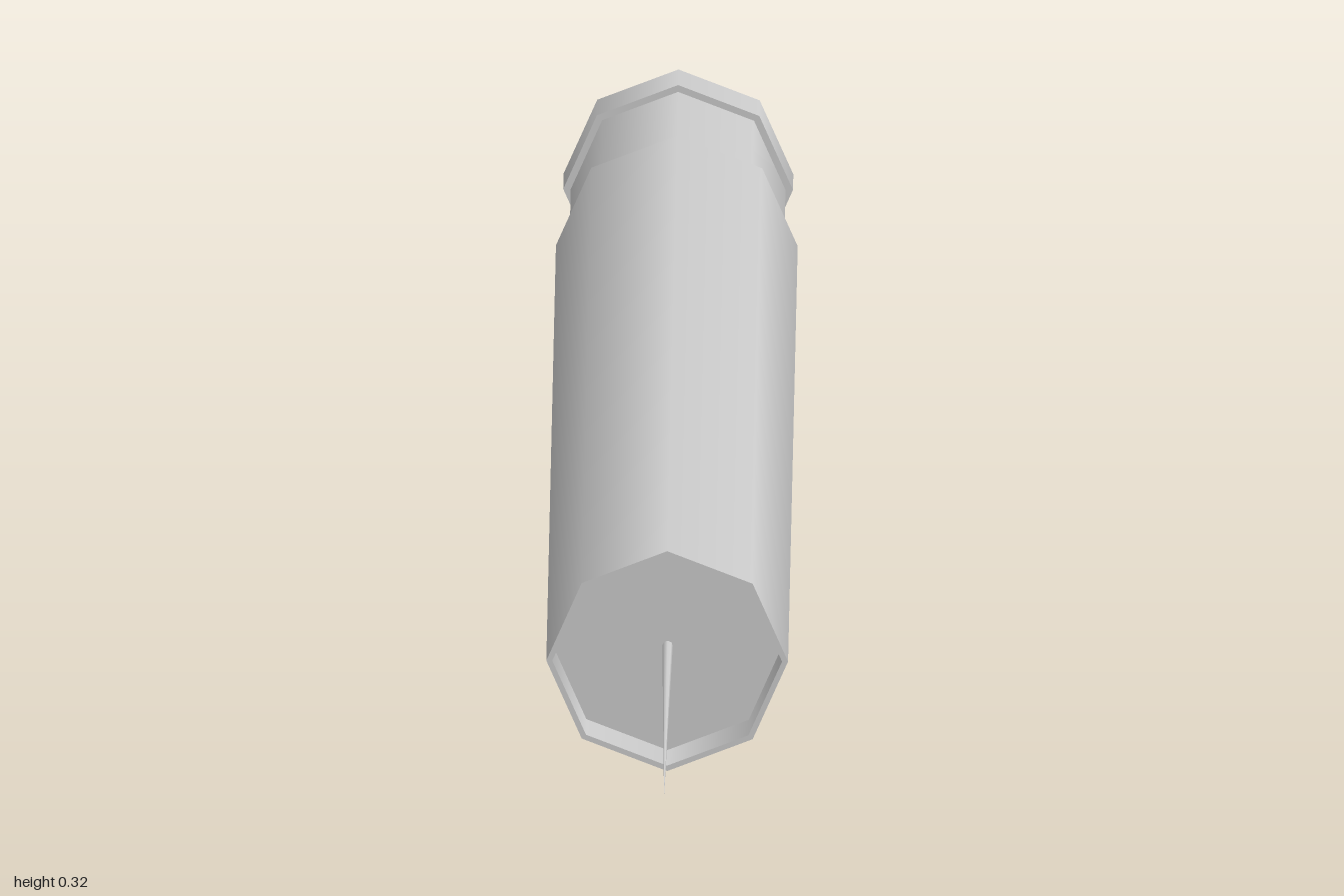
import * as THREE from 'three';
import { mergeGeometries } from 'three/addons/utils/BufferGeometryUtils.js';

const SIDES = 8;
const AXIS_Y = 0.161;

// Turn a [radius, z] profile about the z axis; each band is separate so
// the edges between bands stay sharp while the round sides stay smooth.
function turned(name, profile, material) {
  const bands = [];
  for (let i = 0; i < profile.length - 1; i++) {
    const points = [profile[i], profile[i + 1]].map(([r, z]) => new THREE.Vector2(r, z));
    bands.push(new THREE.LatheGeometry(points, SIDES));
  }
  const geometry = mergeGeometries(bands);
  geometry.rotateX(Math.PI / 2);
  const mesh = new THREE.Mesh(geometry, material);
  mesh.name = name;
  return mesh;
}

export function createModel() {
  const material = new THREE.MeshStandardMaterial({ color: 0xcccccc });
  const group = new THREE.Group();
  group.name = 'cartridge';

  const parts = new THREE.Group();
  parts.name = 'turnedParts';
  parts.position.y = AXIS_Y;
  group.add(parts);

  // Long barrel with a shallow recess in its front end
  parts.add(turned('barrel', [
    [0.143, -0.77], [0.161, -0.77], [0.161, 0.56], [0.153, 0.56], [0.153, 0.51], [0, 0.51],
  ], material));

  // Narrower neck behind the barrel
  parts.add(turned('neck', [[0.143, -0.95], [0.143, -0.77]], material));

  // End collar with a recessed rear face
  parts.add(turned('endCollar', [
    [0, -0.97], [0.143, -0.97], [0.143, -1], [0.153, -1], [0.153, -0.95], [0.143, -0.95],
  ], material));

  // Fine needle rising from the front recess to a point
  parts.add(turned('needle', [[0.007, 0.51], [0, 1]], material));

  return group;
}
